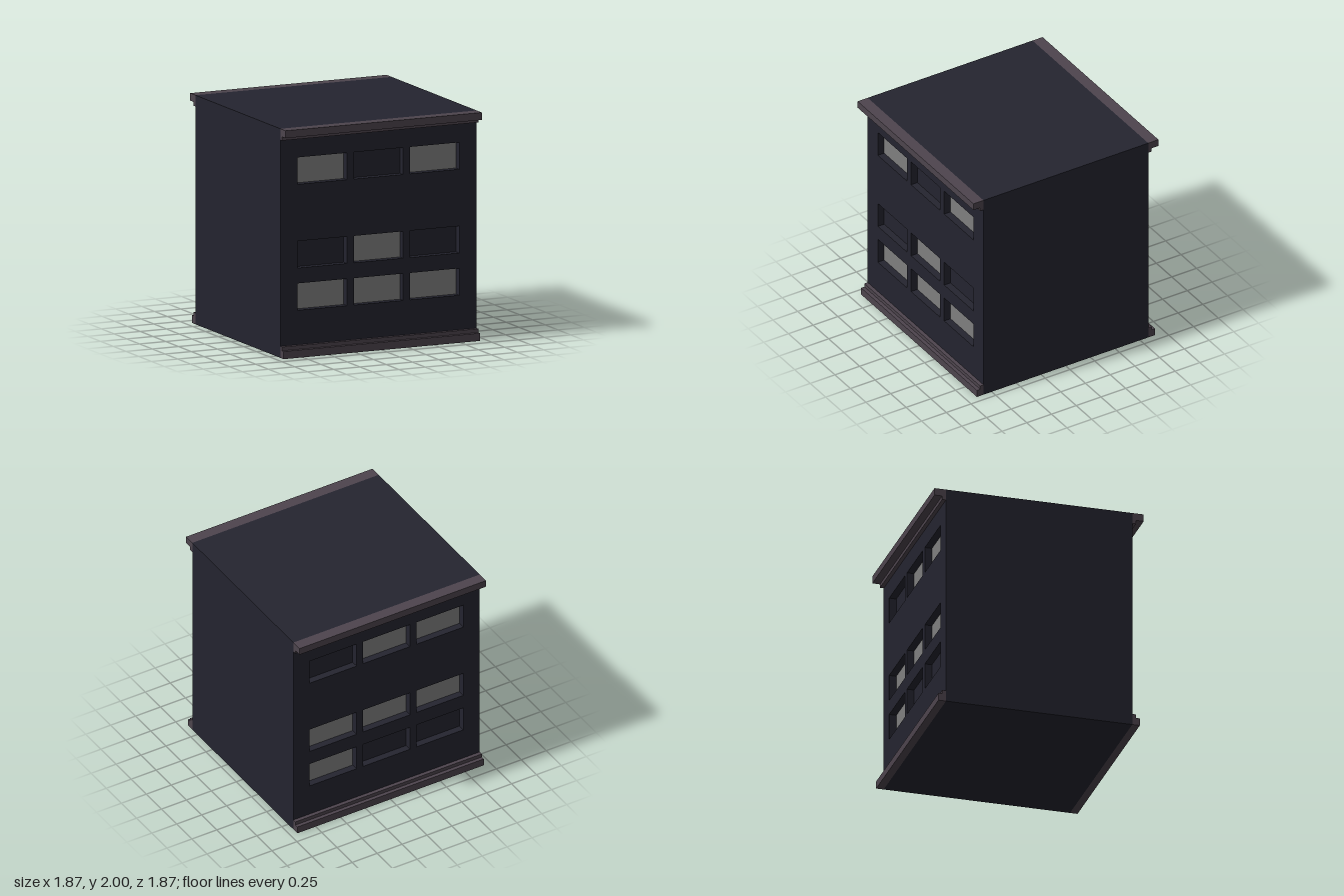
import * as THREE from 'three';

const W = 1.87, H = 2, WALL_Z = 0.833, RECESS = 0.067;
const PANE_W = 0.47, PANE_H = 0.235;
const COLS = [-0.535, 0, 0.535];
const ROWS = [0.518, 0.887, 1.618]; // window centres, bottom to top

function mat(name, color) {
  const m = new THREE.MeshStandardMaterial({ color });
  m.name = name;
  return m;
}

function mesh(name, geometry, material) {
  const m = new THREE.Mesh(geometry, material);
  m.name = name;
  return m;
}

// Stepped moulding: profile points are [outward z, y], swept along x
function moulding(points) {
  const shape = new THREE.Shape(points.map(([z, y]) => new THREE.Vector2(z, y)));
  const geo = new THREE.ExtrudeGeometry(shape, { depth: W, bevelEnabled: false });
  geo.translate(0, 0, -W / 2);
  geo.rotateY(-Math.PI / 2);
  return geo;
}

// Wall sheet with a hole for each window
function wallGeometry() {
  const rect = (path, x0, y0, x1, y1) =>
    path.moveTo(x0, y0).lineTo(x1, y0).lineTo(x1, y1).lineTo(x0, y1).lineTo(x0, y0);
  const shape = rect(new THREE.Shape(), -W / 2, 0, W / 2, H);
  for (const y of ROWS) for (const x of COLS) {
    shape.holes.push(rect(new THREE.Path(), x - PANE_W / 2, y - PANE_H / 2, x + PANE_W / 2, y + PANE_H / 2));
  }
  const geo = new THREE.ExtrudeGeometry(shape, { depth: RECESS, bevelEnabled: false });
  geo.translate(0, 0, WALL_Z - RECESS);
  return geo;
}

export function createModel() {
  const wallMat = mat('dark wall', 0x24242f);
  const trimMat = mat('stone trim', 0x4d444d);
  const litMat = mat('lit glass', 0x7f7f7f);

  const building = new THREE.Group();
  building.name = 'building';

  // Solid core behind the two window walls
  const core = mesh('core', new THREE.BoxGeometry(W, H, 2 * (WALL_Z - RECESS)), wallMat);
  core.position.y = H / 2;
  building.add(core);

  const wallGeo = wallGeometry();
  const paneGeo = new THREE.BoxGeometry(PANE_W, PANE_H, 0.006);
  const corniceGeo = moulding([
    [WALL_Z, 1.902], [0.867, 1.902], [0.867, 1.935], [0.935, 1.935], [0.935, H], [WALL_Z, H],
  ]);
  const plinthGeo = moulding([
    [WALL_Z, 0], [0.9, 0], [0.9, 0.067], [0.867, 0.067], [0.867, 0.1], [WALL_Z, 0.1],
  ]);

  // Lit windows (1) as seen facing each wall, rows from bottom to top
  function facade(name, lit) {
    const side = new THREE.Group();
    side.name = name;
    side.add(
      mesh('windowWall', wallGeo, wallMat),
      mesh('cornice', corniceGeo, trimMat),
      mesh('plinth', plinthGeo, trimMat),
    );
    ROWS.forEach((y, r) => COLS.forEach((x, c) => {
      const on = lit[r][c];
      const pane = mesh(on ? 'litWindow' : 'darkWindow', paneGeo, on ? litMat : wallMat);
      pane.position.set(x, y, WALL_Z - RECESS);
      side.add(pane);
    }));
    return side;
  }

  const front = facade('frontFacade', [[1, 1, 1], [0, 1, 0], [1, 0, 1]]);
  const back = facade('backFacade', [[1, 0, 0], [1, 1, 1], [0, 1, 1]]);
  back.rotation.y = Math.PI;
  building.add(front, back);
  return building;
}
